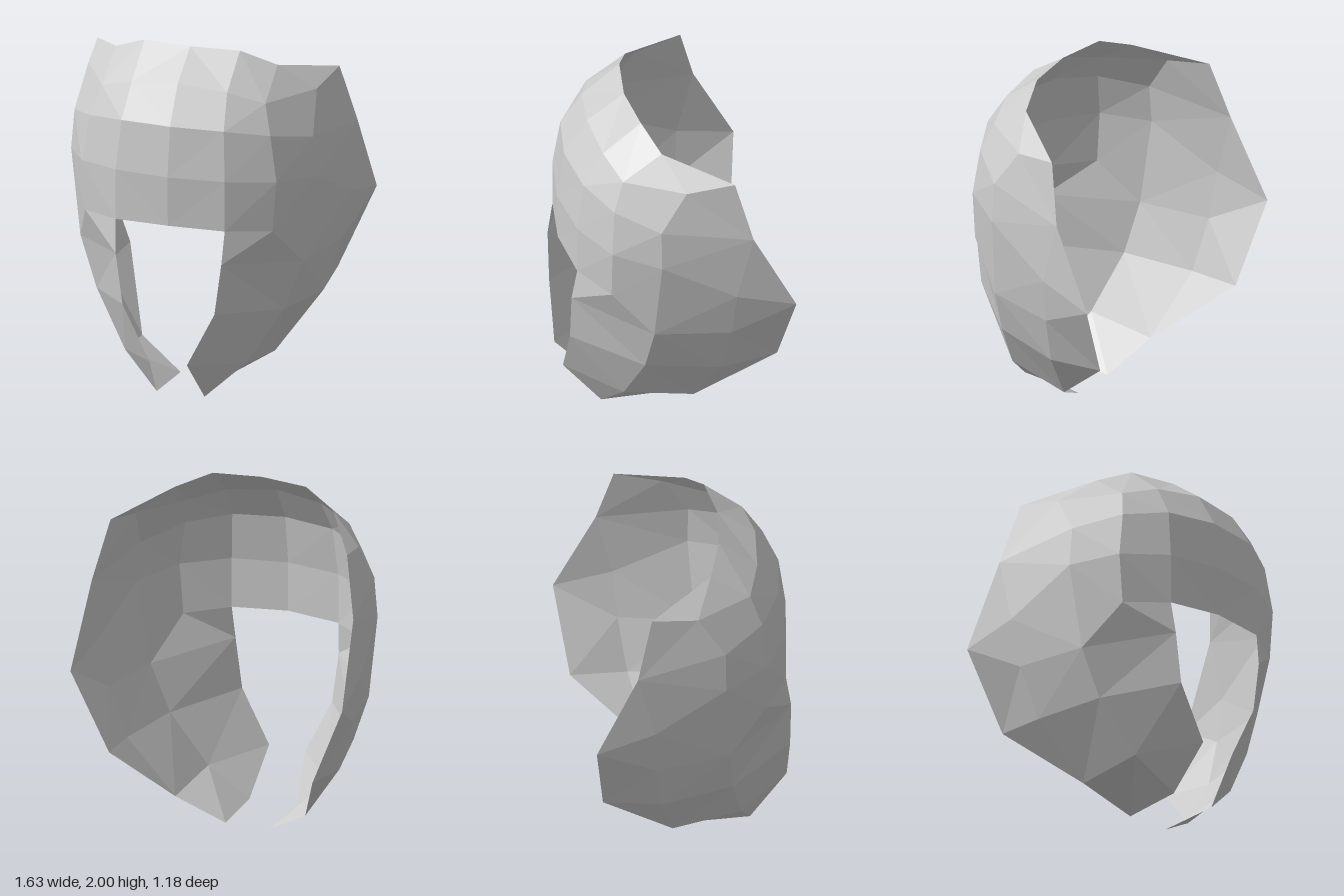
import * as THREE from 'three';

// Cross-sections of the +x half: each row runs from the front centre round to the back.
// Repeated points close a row down to a triangle.
const templeCorner = [0.72, 1.3, 0.15];
const earPoint = [0.785, 1.09, -0.26];
const backTip = [0.815, 1.01, -0.59];

const browRows = [
  [[0, 2, 0.21], [0.28, 1.995, 0.175], [0.475, 1.91, 0.1], [0.71, 1.81, -0.265]],
  [[0, 1.85, 0.42], [0.28, 1.82, 0.39], [0.48, 1.755, 0.32], [0.67, 1.76, 0]],
  [[0, 1.64, 0.55], [0.3, 1.63, 0.505], [0.53, 1.59, 0.38], [0.7, 1.53, 0.15]],
  [[0, 1.355, 0.59], [0.32, 1.35, 0.545], [0.573, 1.33, 0.4], templeCorner],
  [[0, 1.07, 0.585], [0.32, 1.06, 0.545], [0.55, 1.04, 0.4], templeCorner],
];

const templeRows = [
  [[0.67, 1.76, 0], [0.71, 1.81, -0.265], [0.71, 1.81, -0.265]],
  [[0.7, 1.53, 0.15], [0.785, 1.47, -0.355], [0.785, 1.47, -0.355]],
  [templeCorner, earPoint, backTip],
];

const cheekRows = [
  [[0.32, 1.06, 0.545], [0.55, 1.04, 0.4], templeCorner, earPoint, backTip],
  [[0.31, 0.87, 0.575], [0.31, 0.87, 0.575], [0.655, 0.805, 0.18], [0.735, 0.81, -0.24], backTip],
  [[0.27, 0.575, 0.575], [0.27, 0.575, 0.575], [0.55, 0.52, 0.21], [0.637, 0.505, -0.2], [0.61, 0.535, -0.525]],
  [[0.11, 0.26, 0.58], [0.11, 0.26, 0.58], [0.355, 0.205, 0.29], [0.39, 0.155, -0.1], [0.39, 0.155, -0.1]],
  [[0.14, 0.01, 0.37], [0.14, 0.01, 0.37], [0.14, 0.01, 0.37], [0.13, 0, 0], [0.13, 0, 0]],
];

// Skin neighbouring rows, splitting every quad along its shorter diagonal
function skin(rows, side) {
  const pts = rows.map(r => r.map(([x, y, z]) => new THREE.Vector3(x * side, y, z)));
  const out = [];
  const tri = (a, b, c) => {
    if (a.equals(b) || b.equals(c) || c.equals(a)) return;
    for (const p of side > 0 ? [a, b, c] : [a, c, b]) out.push(p);
  };
  for (let r = 0; r < pts.length - 1; r++) {
    for (let i = 0; i < pts[r].length - 1; i++) {
      const a = pts[r][i], b = pts[r][i + 1], c = pts[r + 1][i + 1], d = pts[r + 1][i];
      const folded = a.equals(b) || b.equals(c) || c.equals(d) || d.equals(a);
      if (folded || a.distanceTo(c) < b.distanceTo(d)) {
        tri(a, d, c);
        // a folded quad is one triangle, so take whichever half survives
        tri(a, c, b);
      } else {
        tri(a, d, b);
        tri(b, d, c);
      }
    }
  }
  const geometry = new THREE.BufferGeometry().setFromPoints(out);
  geometry.computeVertexNormals();
  return geometry;
}

export function createModel() {
  const model = new THREE.Group();
  model.name = 'faceGuard';
  const shell = new THREE.MeshStandardMaterial({
    name: 'light grey shell', color: 0xcccccc, flatShading: true, side: THREE.DoubleSide,
  });

  // Forehead band, temples and cheek guards, mirrored left and right
  const parts = { Brow: browRows, Temple: templeRows, CheekGuard: cheekRows };
  for (const [sideName, side] of [['left', 1], ['right', -1]]) {
    for (const [part, rows] of Object.entries(parts)) {
      const mesh = new THREE.Mesh(skin(rows, side), shell);
      mesh.name = sideName + part;
      model.add(mesh);
    }
  }
  return model;
}
